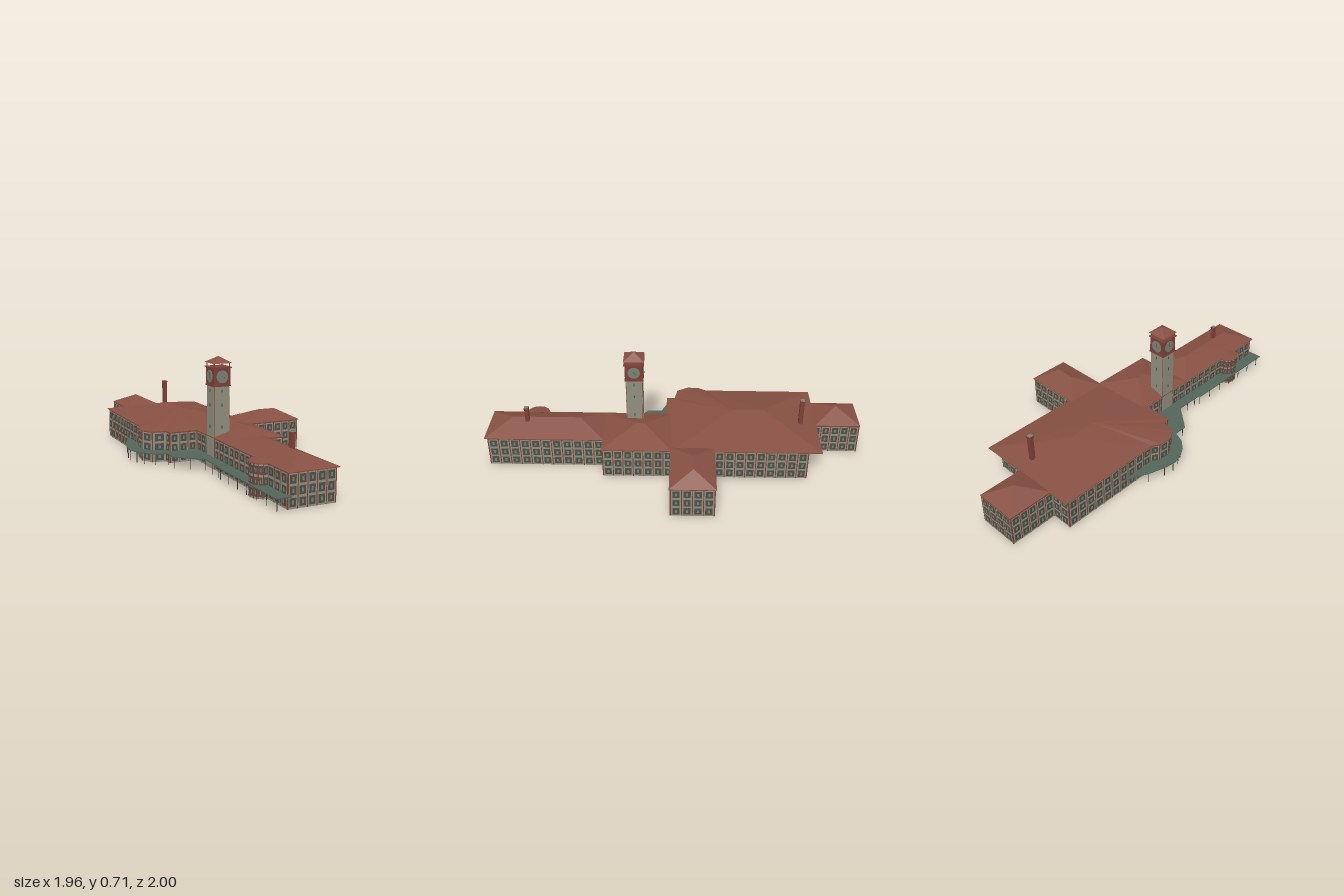
import * as THREE from 'three';
import { mergeGeometries } from 'three/addons/utils/BufferGeometryUtils.js';

const mat = (name, color, side = THREE.FrontSide) => {
  const m = new THREE.MeshStandardMaterial({ color, side });
  m.name = name;
  return m;
};

export function createModel() {
  const M = {
    roof: mat('roof tile', 0x875043, THREE.DoubleSide),
    stone: mat('stone', 0x8f8e7c),
    brick: mat('red brick', 0x7c4036),
    glass: mat('window green', 0x43544c),
    pane: mat('grey pane', 0x7b8073),
    canopy: mat('canopy green', 0x52645a),
    dark: mat('dark metal', 0x35332f),
  };
  const root = new THREE.Group();
  root.name = 'clockTowerStation';
  // The whole plan is laid out along the building's long axis, then turned
  const plan = new THREE.Group();
  plan.name = 'building';
  plan.rotation.y = -0.859;
  root.add(plan);

  const add = (name, geo, material, parent = plan) => {
    const m = new THREE.Mesh(geo, material);
    m.name = name;
    parent.add(m);
    return m;
  };
  const box = (w, h, d, x, y, z) => new THREE.BoxGeometry(w, h, d).translate(x, y, z);
  const local = ([x, z]) => [0.653 * x + 0.757 * z, 0.653 * z - 0.757 * x];
  const rect = (u0, u1, w0, w1) => [[u0, w1], [u1, w1], [u1, w0], [u0, w0]];
  const outline = pts => new THREE.Shape(pts.map(([u, w]) => new THREE.Vector2(u, -w)));

  const EAVE = 0.207, FLOORS = [0.036, 0.1, 0.164];

  // Facade along a run of plan points: wall, brick strips, three rows of windows
  function walls(name, pts) {
    const parts = { stone: [], brick: [], glass: [], pane: [] };
    for (let i = 0; i < pts.length - 1; i++) {
      const [a, b] = [pts[i], pts[i + 1]];
      const dx = b[0] - a[0], dz = b[1] - a[1], len = Math.hypot(dx, dz);
      const put = (kind, w, h, d, along, y) => parts[kind].push(
        box(w, h, d, along, y, 0).rotateY(-Math.atan2(dz, dx)).translate(a[0], 0, a[1]));
      put('stone', len, 0.202, 0.006, len / 2, 0.101);
      put('brick', len, 0.004, 0.01, len / 2, 0.199);
      const n = Math.max(1, Math.round(len / 0.066)), bay = len / n;
      for (let k = 0; k < n; k++) {
        put('brick', 0.005, 0.2, 0.009, k * bay, 0.1);
        const c = (k + 0.5) * bay, w = bay * 0.58;
        for (const y of FLOORS) {
          put('brick', w + 0.005, 0.049, 0.008, c, y);
          put('glass', w, 0.044, 0.01, c, y);
          put('pane', w * 0.34, 0.022, 0.012, c, y);
        }
      }
      put('brick', 0.005, 0.2, 0.009, len, 0.1);
    }
    const g = new THREE.Group();
    g.name = name;
    plan.add(g);
    for (const k in parts) add(name + ' ' + M[k].name, mergeGeometries(parts[k]), M[k], g);
  }

  // Hipped roof: each eave edge rises to the nearer end of the ridge, over a flat soffit
  function roof(name, eave, r0, r1, top, base = EAVE) {
    const v = [];
    const tri = (...p) => p.forEach(q => v.push(...q));
    const near = p => Math.hypot(p[0] - r0[0], p[1] - r0[1]) <= Math.hypot(p[0] - r1[0], p[1] - r1[1]) ? r0 : r1;
    eave.forEach((p, i) => {
      const q = eave[(i + 1) % eave.length], rp = near(p), rq = near(q);
      const at = (s, y) => [s[0], y, s[1]];
      tri(at(p, base), at(q, base), at(rp, top));
      if (rp !== rq) tri(at(q, base), at(rq, top), at(rp, top));
      tri(at(p, base - 0.005), at(q, base - 0.005), at(q, base));
      tri(at(p, base - 0.005), at(q, base), at(p, base));
    });
    const g = new THREE.BufferGeometry();
    g.setAttribute('position', new THREE.Float32BufferAttribute(v, 3));
    g.computeVertexNormals();
    add(name, g, M.roof);
    add(name + 'Soffit', new THREE.ShapeGeometry(outline(eave)).rotateX(-Math.PI / 2)
      .translate(0, base - 0.005, 0), M.roof);
  }

  // Great hall with a rounded corner; its end wall is set back under the eave
  const hall = [[-0.972, 0.348], [-0.25, 0.352], [-0.199, 0.383], [-0.12, 0.388], [-0.046, 0.344],
    [-0.03, 0.25], [0.025, 0.246], [0.025, 0.05], [-0.02, -0.375], [-0.972, -0.375]];
  roof('hallRoof', hall, [-0.617, -0.004], [-0.412, -0.01], 0.287);
  const inner = hall.map(([u, w]) => [-0.47 + (u + 0.47) * 0.98, w * 0.973]);
  walls('hallFront', [[-0.945, 0.339], ...inner.slice(1, 8)]);
  walls('hallBack', [inner[8], [-0.885, -0.365], [-0.885, 0.1]]);
  walls('hallEnd', [[-0.945, 0.2], [-0.945, 0.339]]);

  // Rectangular blocks: eave rectangle, ridge ends, peak, and the run of outer walls
  const i = 0.01;
  roof('endPavilionRoof', rect(-1.262, -0.965, -0.07, 0.206), [-1.115, 0.068], [-1.115, 0.068], 0.275);
  walls('endPavilion', [[-0.885, -0.065], [-1.256, -0.065], [-1.256, 0.201], [-0.885, 0.201]]);

  roof('rearWingRoof', rect(-0.295, -0.011, -0.753, -0.33), [-0.157, -0.635], [-0.157, -0.505], 0.271);
  walls('rearWing', [[-0.011 - i, -0.365], [-0.011 - i, -0.753 + i], [-0.295 + i, -0.753 + i], [-0.295 + i, -0.365]]);

  roof('centralRoof', rect(-0.02, 0.429, -0.374, 0.053), [0.16, -0.16], [0.215, -0.16], 0.27);
  walls('centralBlock', [[0.02, 0.053 - i], [0.429 - i, 0.053 - i], [0.429 - i, -0.374 + i], [-0.03, -0.374 + i]]);

  roof('longWingRoof', rect(0.42, 1.195, -0.266, 0.054), [0.584, -0.102], [1.03, -0.102], 0.271);
  walls('longWing', [[0.42, 0.054 - i], [1.172, 0.054 - i], [1.172, -0.266 + i], [0.42, -0.266 + i]]);

  // Half-round bay on the long wing
  const arc = r => Array.from({ length: 9 }, (_, k) => {
    const t = Math.PI * (1 - k / 8);
    return [0.893 + r * Math.cos(t), 0.045 + r * Math.sin(t)];
  });
  walls('roundBay', arc(0.07));
  roof('roundBayRoof', arc(0.08), [0.893, 0.03], [0.893, 0.03], 0.222, 0.205);

  // Flat street canopies on thin posts
  function canopy(name, pts, posts) {
    const g = new THREE.ExtrudeGeometry(outline(pts), { depth: 0.006, bevelEnabled: false });
    add(name, g.rotateX(-Math.PI / 2).translate(0, 0.074, 0), M.canopy);
    add(name + 'Posts', mergeGeometries(posts.map(([u, w]) =>
      new THREE.CylinderGeometry(0.0025, 0.0025, 0.075, 6).translate(u, 0.0375, w))), M.dark);
  }
  const front = [[-0.59, -0.15], [-0.54, 0.02], [-0.49, 0.13], [-0.45, 0.19], [-0.39, 0.23], [-0.33, 0.253],
    [-0.25, 0.257], [-0.17, 0.23], [-0.11, 0.3], [0.1, 0.3], [0.23, 0.45], [0.28, 0.4], [0, 0.02], [-0.04, 0.02],
    [-0.18, 0.14], [-0.43, 0.03]];
  canopy('hallCanopy', front.map(local),
    [...front.slice(1, 10), [0, 0.3], [0.165, 0.375], [0.22, 0.435]].map(([x, z]) => local([x + 0.005, z - 0.015])));
  canopy('wingCanopy', rect(0.492, 1.203, 0.035, 0.132),
    Array.from({ length: 7 }, (_, k) => [0.51 + k * 0.112, 0.115]));

  // Clock tower: a brick core showing at the corners between stone faces
  const tower = new THREE.Group();
  tower.name = 'clockTower';
  tower.position.set(0.229, 0, -0.004);
  plan.add(tower);
  const H = 0.055;
  const square = (half, h, y) => box(2 * half, h, 2 * half, 0, y, 0);
  add('towerCore', square(H - 0.002, 0.53, 0.265), M.brick, tower);
  add('clockStage', square(0.058, 0.115, 0.5875), M.brick, tower);
  add('towerBands', mergeGeometries([square(0.061, 0.007, 0.532), square(0.065, 0.006, 0.647)]), M.brick, tower);
  const corners = [[1, 1], [1, -1], [-1, -1], [-1, 1]];
  add('belfryPosts', mergeGeometries(corners.map(([a, b]) =>
    box(0.005, 0.026, 0.005, a * 0.053, 0.662, b * 0.053))), M.brick, tower);
  add('towerRoof', new THREE.CylinderGeometry(0, 0.066 * Math.SQRT2, 0.041, 4, 1).toNonIndexed()
    .rotateY(Math.PI / 4).translate(0, 0.6945, 0), M.roof, tower).geometry.computeVertexNormals();
  // Stone panel, clock dial, hands and slit windows on the four faces
  for (let k = 0; k < 4; k++) {
    const face = new THREE.Group();
    face.name = 'towerFace' + (k + 1);
    face.rotation.y = k * Math.PI / 2;
    tower.add(face);
    add('stoneFace', box(2 * H - 0.008, 0.528, 0.004, 0, 0.264, H - 0.002), M.stone, face);
    add('clockDial', new THREE.CylinderGeometry(0.04, 0.04, 0.006, 24).rotateX(Math.PI / 2)
      .translate(0, 0.59, 0.058), M.pane, face);
    add('clockHands', mergeGeometries([
      box(0.002, 0.024, 0.002, 0, 0.012, 0),
      box(0.002, 0.017, 0.002, 0, 0.0085, 0).rotateZ(-2),
    ]).translate(0, 0.59, 0.0615), M.glass, face);
    add('slitWindows', mergeGeometries([0.27, 0.41, 0.5].map(y =>
      box(0.007, 0.02, 0.004, 0, y, H))), M.glass, face);
  }

  // Chimneys
  for (const [x, z, top, s] of [[-0.506, -0.704, 0.408, 0.028], [0.702, 0.624, 0.358, 0.025]]) {
    const [u, w] = local([x, z]);
    add('chimney', box(s, top - 0.18, s, u, (top + 0.18) / 2, w), M.brick);
    add('chimneyRim', box(s + 0.005, 0.009, s + 0.005, u, top - 0.006, w), M.brick);
    add('chimneyCap', box(s, 0.003, s, u, top + 0.0005, w), M.pane);
  }
  return root;
}
